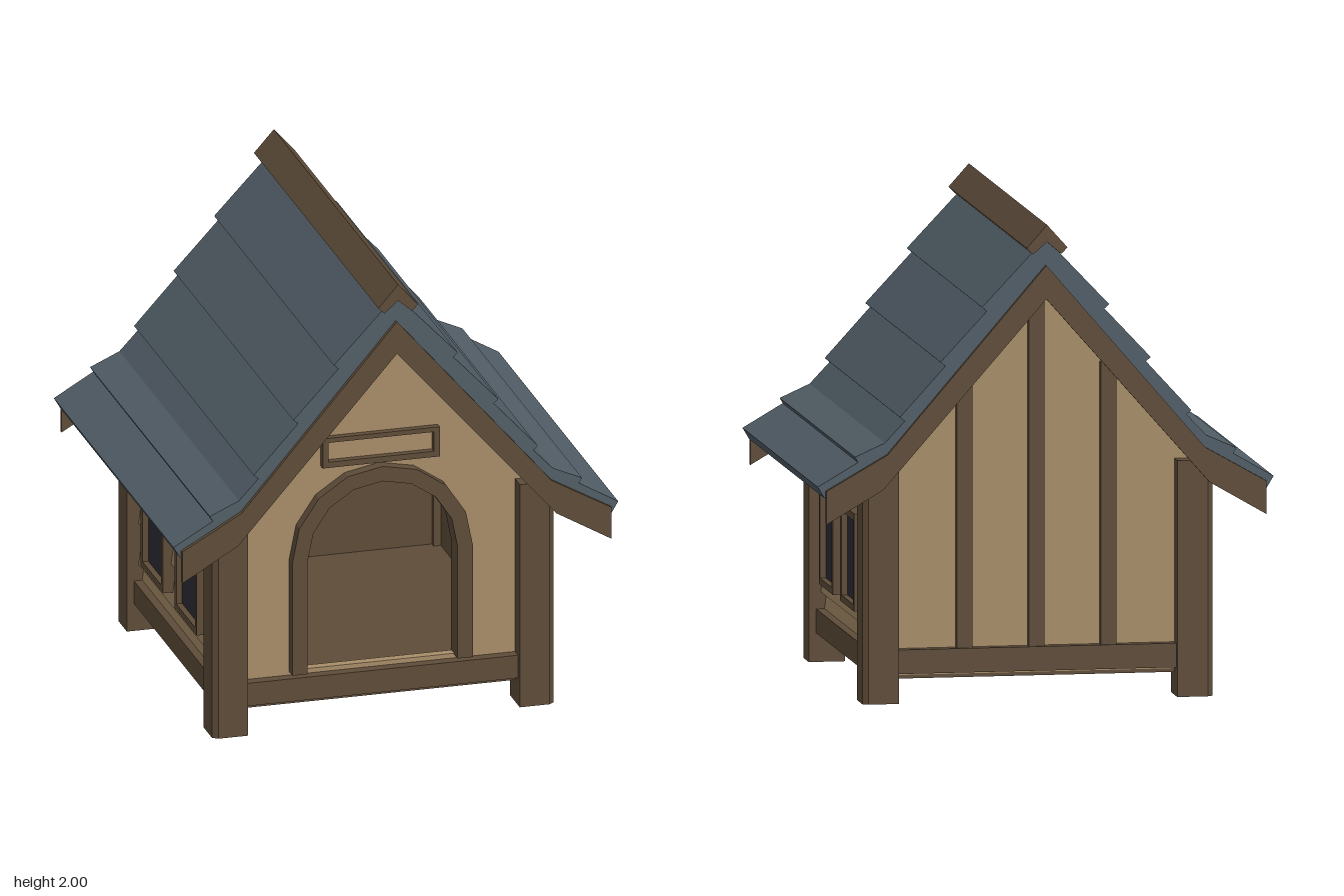
import * as THREE from 'three';

const mat = (name, color) => {
  const m = new THREE.MeshStandardMaterial({ color });
  m.name = name;
  return m;
};

export function createModel() {
  const model = new THREE.Group();
  model.name = 'kennel';
  const tan = mat('tan boards', 0xa88d69);
  const brown = mat('dark timber', 0x5e4c39);
  const slate = mat('slate roof', 0x515d66);
  const glass = mat('dark glass', 0x2e2d38);

  const add = (name, geo, material, parent = model) => {
    const mesh = new THREE.Mesh(geo, material);
    mesh.name = name;
    parent.add(mesh);
    return mesh;
  };
  // box given by its minimum and maximum corners
  const box = (name, a, b, material, parent) => {
    const geo = new THREE.BoxGeometry(b[0] - a[0], b[1] - a[1], b[2] - a[2]);
    geo.translate((a[0] + b[0]) / 2, (a[1] + b[1]) / 2, (a[2] + b[2]) / 2);
    return add(name, geo, material, parent);
  };
  const toShape = pts => new THREE.Shape(pts.map(p => new THREE.Vector2(...p)));
  const toHole = pts => new THREE.Path(pts.map(p => new THREE.Vector2(...p)));
  const extrude = (shape, z0, z1) =>
    new THREE.ExtrudeGeometry(shape, { depth: z1 - z0, bevelEnabled: false }).translate(0, 0, z0);
  // closes a symmetric chevron from its right outer and inner edges, both listed from the ridge down
  const chevron = (outer, inner) => {
    const flip = pts => pts.map(([x, y]) => [-x, y]);
    return toShape([...outer, ...[...inner].reverse(), ...flip(inner.slice(1)), ...flip(outer.slice(1)).reverse()]);
  };
  const rect = (x0, y0, x1, y1) => [[x0, y0], [x1, y0], [x1, y1], [x0, y1]];
  const arch = (r, spring, bottom) => {
    const pts = [[-r, bottom], [r, bottom]];
    for (let i = 0; i <= 8; i++) {
      const a = i * Math.PI / 8;
      pts.push([r * Math.cos(a), spring + r * Math.sin(a)]);
    }
    return pts;
  };

  // gable walls, the front one with an arched doorway
  const gable = () => toShape([[-0.65, 0.11], [0.65, 0.11], [0.65, 1.02], [0, 1.78], [-0.65, 1.02]]);
  const frontShape = gable();
  frontShape.holes.push(toHole(arch(0.325, 0.73, 0.24)));
  add('frontWall', extrude(frontShape, 0.6, 0.64), tan);
  add('backWall', extrude(gable(), -0.64, -0.6), tan);

  // door surround
  const surround = toShape([...arch(0.385, 0.73, 0.235)]);
  surround.holes.push(toHole(arch(0.32, 0.73, 0.2351)));
  // open-footed arch: outer edge, then inner edge in reverse
  const outerArch = arch(0.385, 0.73, 0.235).slice(1);
  const innerArch = arch(0.32, 0.73, 0.235).slice(1);
  const archPts = [...outerArch, [-0.385, 0.235], [-0.32, 0.235], ...innerArch.reverse()];
  add('doorSurround', extrude(toShape(archPts), 0.59, 0.69), brown);

  // blank name board frame over the door
  const plate = toShape(rect(-0.25, 1.125, 0.25, 1.255));
  plate.holes.push(toHole(rect(-0.225, 1.15, 0.225, 1.235)));
  add('nameBoardFrame', extrude(plate, 0.64, 0.67), brown);

  // floor and inner lining
  box('floorSlab', [-0.64, 0.095, -0.64], [0.64, 0.115, 0.64], brown);
  box('innerFloor', [-0.62, 0.115, -0.6], [0.62, 0.235, 0.6], brown);
  add('backLining', extrude(gable(), -0.6, -0.592), brown);
  for (const s of [-1, 1]) {
    box('sideLining', [s * 0.615 - 0.004, 0.23, -0.59], [s * 0.615 + 0.004, 1.03, 0.6], brown);
  }

  // lapped side boards
  const lap = [[0.62, 0.11]];
  const edges = [0.11, 0.29, 0.472, 0.655, 0.84, 1.02];
  for (let i = 0; i < 5; i++) lap.push([0.68, edges[i]], [0.655, edges[i + 1]]);
  lap.push([0.62, 1.02]);

  for (const s of [-1, 1]) {
    const side = new THREE.Group();
    side.name = s > 0 ? 'leftSide' : 'rightSide';
    if (s < 0) side.rotation.y = Math.PI;
    model.add(side);
    add('lappedBoards', extrude(toShape(lap), -0.62, 0.62), tan, side);
    box('sideSill', [0.62, 0.12, -0.6], [0.7, 0.22, 0.6], brown, side);

    // two framed windows
    for (const z of [-0.25, 0.25]) {
      const frame = toShape(rect(-0.165, 0.345, 0.165, 0.75));
      frame.holes.push(toHole(rect(-0.137, 0.372, 0.137, 0.72)));
      const geo = extrude(frame, 0.65, 0.715).rotateY(Math.PI / 2).translate(0, 0, z);
      add('windowFrame', geo, brown, side);
      box('windowPane', [0.682, 0.365, z - 0.14], [0.69, 0.725, z + 0.14], glass, side);
    }
  }

  // corner posts with the outer edge chamfered
  for (const sx of [-1, 1]) for (const sz of [-1, 1]) {
    const pts = [[0.58, 0.565], [0.73, 0.565], [0.73, 0.692], [0.707, 0.71], [0.58, 0.71]]
      .map(([x, z]) => [x * sx, -z * sz]);
    add('cornerPost', extrude(toShape(pts), 0, 0.98).rotateX(-Math.PI / 2), brown);
  }

  // front and back sills, back battens
  box('frontSill', [-0.6, 0.12, 0.62], [0.6, 0.22, 0.685], brown);
  box('backSill', [-0.6, 0.12, -0.685], [0.6, 0.22, -0.62], brown);
  for (const x of [-0.3, 0, 0.3]) {
    box('backBatten', [x - 0.033, 0.2, -0.675], [x + 0.033, x ? 1.39 : 1.7, -0.63], brown);
  }

  // lapped roof with flared eaves
  add('roof', extrude(chevron(
    [[0, 1.94], [0.265, 1.66], [0.245, 1.643], [0.438, 1.437], [0.418, 1.42], [0.607, 1.213],
      [0.587, 1.196], [0.67, 1.108], [0.795, 1.052], [0.782, 1.03], [0.95, 0.932], [0.922, 0.885]],
    [[0, 1.8], [0.65, 1.035], [0.922, 0.885]].slice(0, 2)), -0.885, 0.885), slate);

  // bargeboards on both gables
  const barge = chevron([[0, 1.83], [0.662, 1.06], [0.917, 0.915]], [[0, 1.69], [0.68, 0.915], [0.917, 0.777]]);
  add('frontBargeboard', extrude(barge, 0.885, 0.903), brown);
  add('backBargeboard', extrude(barge, -0.903, -0.885), brown);

  // ridge cap
  add('ridgeCap', extrude(chevron([[0, 2], [0.085, 1.905], [0.06, 1.88]], [[0, 1.93], [0.058, 1.879]]), -0.92, 0.92), brown);

  return model;
}
